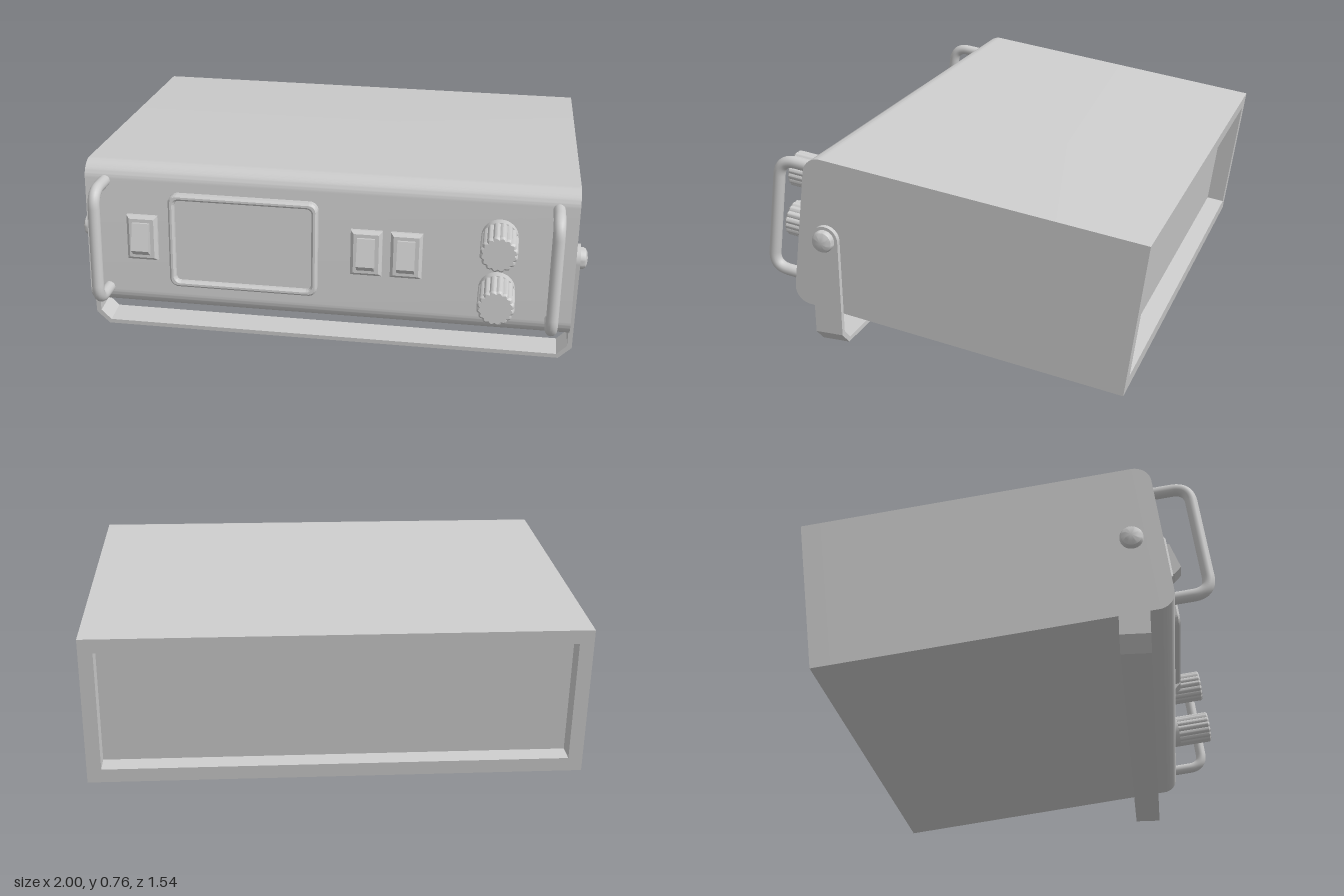
import * as THREE from 'three';
import { toCreasedNormals } from 'three/addons/utils/BufferGeometryUtils.js';

const mat = new THREE.MeshStandardMaterial({ color: 0xcccccc });
const W = 1.9, H = 0.595, D = 1.31; // case size
const TILT = 0.134;

function add(parent, name, geo, x = 0, y = 0, z = 0) {
  const m = new THREE.Mesh(geo, mat);
  m.name = name;
  m.position.set(x, y, z);
  parent.add(m);
  return m;
}

// Traces a rounded rectangle centred on the origin
function roundRect(p, w, h, r) {
  const x = w / 2, y = h / 2;
  p.moveTo(-x + r, -y);
  p.lineTo(x - r, -y);
  p.absarc(x - r, -y + r, r, -Math.PI / 2, 0);
  p.lineTo(x, y - r);
  p.absarc(x - r, y - r, r, 0, Math.PI / 2);
  p.lineTo(-x + r, y);
  p.absarc(-x + r, y - r, r, Math.PI / 2, Math.PI);
  p.lineTo(-x, -y + r);
  p.absarc(-x + r, -y + r, r, Math.PI, Math.PI * 1.5);
  return p;
}

const polygon = pts => new THREE.Shape(pts.map(p => new THREE.Vector2(...p)));

function extrude(shape, depth, bevel = 0) {
  return toCreasedNormals(new THREE.ExtrudeGeometry(shape, {
    depth: depth - bevel, curveSegments: 10, bevelEnabled: bevel > 0,
    bevelThickness: bevel, bevelSize: bevel, bevelOffset: -bevel, bevelSegments: 1,
  }), 0.5);
}

// Extrudes a (z, y) profile across x, centred on x = 0
function extrudeAcross(shape, width) {
  return extrude(shape, width).translate(0, 0, -width / 2).rotateY(-Math.PI / 2);
}

function rectFrame(w, h, r, border, innerR) {
  const s = roundRect(new THREE.Shape(), w, h, r);
  s.holes.push(roundRect(new THREE.Path(), w - 2 * border, h - 2 * border, innerR));
  return s;
}

// Case with rounded front edges and a recessed back panel
function buildCase(unit) {
  const r = 0.065, recess = 0.075;
  const p = new THREE.Shape();
  p.moveTo(recess, 0);
  p.lineTo(D - r, 0);
  p.absarc(D - r, r, r, -Math.PI / 2, 0);
  p.lineTo(D, H - r);
  p.absarc(D - r, H - r, r, 0, Math.PI / 2);
  p.lineTo(recess, H);
  add(unit, 'caseBody', extrudeAcross(p, W));

  const rim = polygon([[-W / 2, 0], [W / 2, 0], [W / 2, H], [-W / 2, H]]);
  const b = 0.055, x = W / 2 - b;
  rim.holes.push(polygon([[-x, b], [-x, H - b], [x, H - b], [x, b]]));
  add(unit, 'backRim', extrude(rim, recess));
}

function buildDisplay(unit) {
  const g = new THREE.Group();
  g.name = 'display';
  g.position.set(-0.323, 0.3, D);
  add(g, 'displayFrame', extrude(rectFrame(0.585, 0.384, 0.035, 0.024, 0.02), 0.032, 0.008));
  add(g, 'displayPanel', new THREE.BoxGeometry(0.55, 0.35, 0.02));
  unit.add(g);
}

// Rocker switch: bevelled bezel with a wedge-shaped rocker
function buildSwitch(unit, x) {
  const g = new THREE.Group();
  g.name = 'rockerSwitch';
  g.position.set(x, 0.3, D);
  const bezel = polygon([[-0.061, -0.092], [0.061, -0.092], [0.061, 0.092], [-0.061, 0.092]]);
  add(g, 'switchBezel', extrude(bezel, 0.024, 0.012));
  const wedge = polygon([[0, -0.066], [0.03, -0.066], [0.06, -0.04], [0.034, 0.066], [0, 0.066]]);
  add(g, 'switchRocker', extrudeAcross(wedge, 0.068));
  unit.add(g);
}

// Fluted control knob on a round collar
function buildKnob(unit, x, y) {
  const g = new THREE.Group();
  g.name = 'controlKnob';
  g.position.set(x, y, D);
  add(g, 'knobCollar', new THREE.CylinderGeometry(0.07, 0.07, 0.035, 32).rotateX(Math.PI / 2), 0, 0, 0.0175);
  const pts = [], n = 96, flutes = 16;
  for (let i = 0; i < n; i++) {
    const a = i / n * Math.PI * 2;
    const rad = 0.065 + 0.006 * Math.abs(Math.sin(a * flutes / 2));
    pts.push([rad * Math.cos(a), rad * Math.sin(a)]);
  }
  add(g, 'knobGrip', extrude(polygon(pts), 0.145, 0.007), 0, 0, 0.035);
  unit.add(g);
}

// Bent-rod grab handle in front of the panel
function buildHandle(unit, x) {
  const y0 = 0.073, y1 = 0.522, z0 = D - 0.02, z1 = D + 0.135, r = 0.065;
  const v = (y, z) => new THREE.Vector3(0, y, z);
  const path = new THREE.CurvePath();
  path.add(new THREE.LineCurve3(v(y0, z0), v(y0, z1 - r)));
  path.add(new THREE.QuadraticBezierCurve3(v(y0, z1 - r), v(y0, z1), v(y0 + r, z1)));
  path.add(new THREE.LineCurve3(v(y0 + r, z1), v(y1 - r, z1)));
  path.add(new THREE.QuadraticBezierCurve3(v(y1 - r, z1), v(y1, z1), v(y1, z1 - r)));
  path.add(new THREE.LineCurve3(v(y1, z1 - r), v(y1, z0)));
  add(unit, 'grabHandle', new THREE.TubeGeometry(path, 80, 0.023, 16), x);
}

// Upright bail stand pivoting on the case sides
function buildBail(root) {
  const g = new THREE.Group();
  g.name = 'bailStand';
  const py = 0.447, pz = 0.457, half = 0.055;
  const outer = [[0.97, py], [0.97, 0.065], [0.92, 0.013]];
  const inner = [[0.951, py], [0.951, 0.073], [0.912, 0.031]];
  const flip = a => a.map(([x, y]) => [-x, y]).reverse();
  const outline = [...inner, ...flip(inner), ...flip(outer).reverse(), ...outer.slice().reverse()];
  add(g, 'bailStrap', extrude(polygon(outline), half * 2), 0, 0, pz - half);
  const dome = [[0.043, -0.01], [0.043, 0.01], [0.038, 0.02], [0.024, 0.027], [0, 0.03]]
    .map(p => new THREE.Vector2(...p));
  for (const s of [1, -1]) {
    add(g, 'bailEar', new THREE.CylinderGeometry(half, half, 0.019, 40).rotateZ(Math.PI / 2), s * 0.9605, py, pz);
    const screw = toCreasedNormals(new THREE.LatheGeometry(dome, 32), 0.6).rotateZ(-s * Math.PI / 2);
    add(g, 'pivotScrew', screw, s * 0.97, py, pz);
  }
  root.add(g);
}

export function createModel() {
  const root = new THREE.Group();
  root.name = 'benchInstrument';

  // Everything on the case leans back with it
  const unit = new THREE.Group();
  unit.name = 'tiltedCase';
  unit.position.z = -0.69;
  unit.rotation.x = -TILT;
  root.add(unit);

  buildCase(unit);
  buildDisplay(unit);
  for (const x of [-0.725, 0.157, 0.311]) buildSwitch(unit, x);
  for (const y of [0.185, 0.4]) buildKnob(unit, 0.66, y);
  for (const s of [1, -1]) buildHandle(unit, s * 0.872);
  buildBail(root);
  return root;
}
